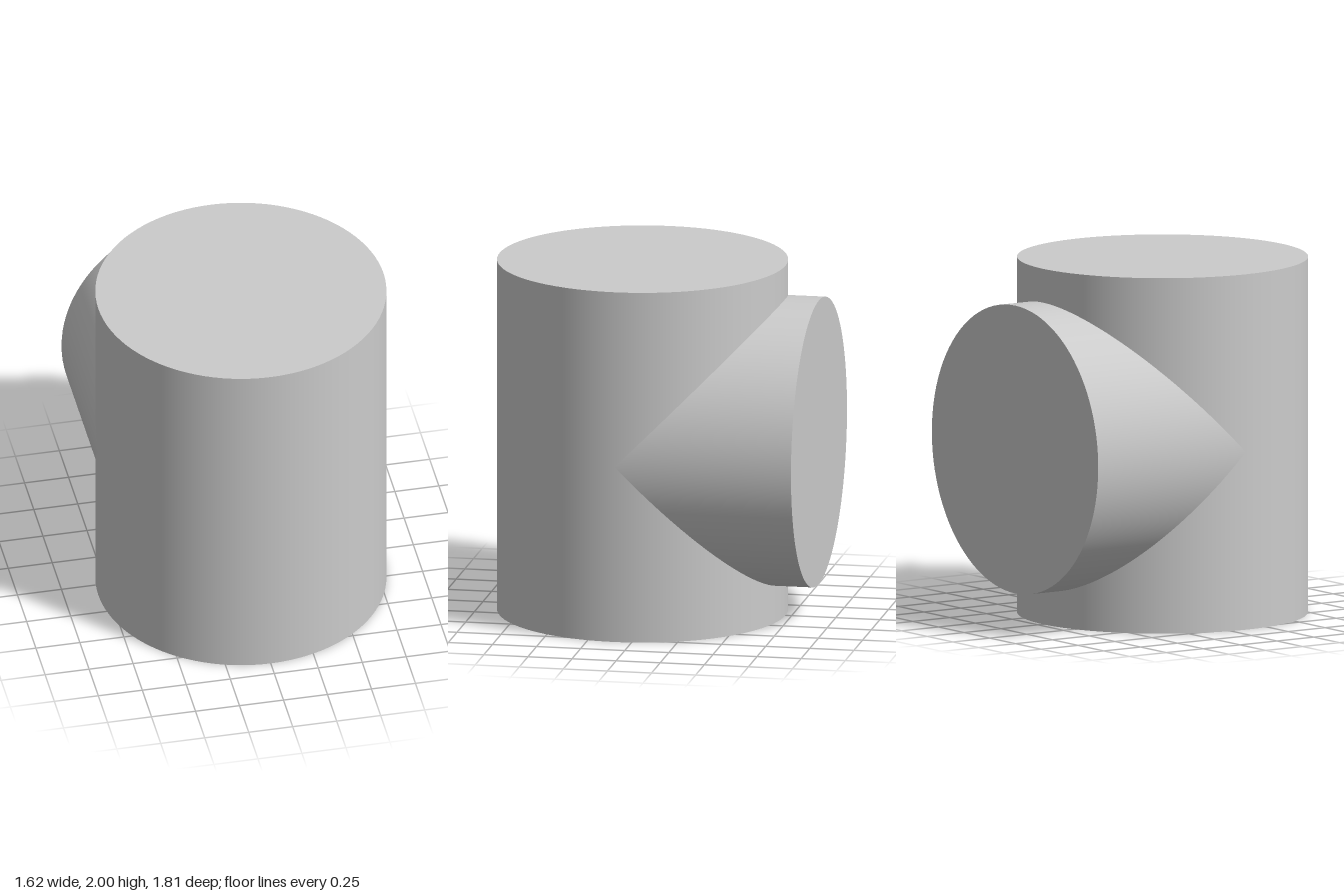
import * as THREE from 'three';

const RADIUS = 0.81;
const HEIGHT = 2;
const AXIS_Z = 0.095; // the upright's axis sits forward of centre
const BACK_Z = -0.905; // flat end of the branch
const SEGMENTS = 96;

export function createModel() {
  const group = new THREE.Group();
  group.name = 'teeJunction';
  const material = new THREE.MeshStandardMaterial({ color: 0xcccccc });

  const add = (name, geometry) => {
    const mesh = new THREE.Mesh(geometry, material);
    mesh.name = name;
    group.add(mesh);
    return mesh;
  };

  // Solid upright cylinder
  const upright = add('uprightCylinder', new THREE.CylinderGeometry(RADIUS, RADIUS, HEIGHT, SEGMENTS));
  upright.position.set(0, HEIGHT / 2, AXIS_Z);

  // Equal-radius branch towards the back, its inner rim shaped to the upright's wall
  const length = AXIS_Z - BACK_Z;
  const wall = new THREE.CylinderGeometry(RADIUS, RADIUS, length, SEGMENTS, 1, true);
  wall.rotateX(-Math.PI / 2);
  wall.translate(0, HEIGHT / 2, (AXIS_Z + BACK_Z) / 2);
  const p = wall.attributes.position;
  for (let i = 0; i < p.count; i++) {
    if (p.getZ(i) < 0) continue;
    const x = p.getX(i);
    p.setZ(i, AXIS_Z - Math.sqrt(Math.max(0, RADIUS * RADIUS - x * x)));
  }
  add('branchWall', wall);

  // Flat end of the branch
  const cap = new THREE.CircleGeometry(RADIUS, SEGMENTS);
  cap.rotateY(Math.PI);
  cap.translate(0, HEIGHT / 2, BACK_Z);
  add('branchEnd', cap);

  return group;
}
